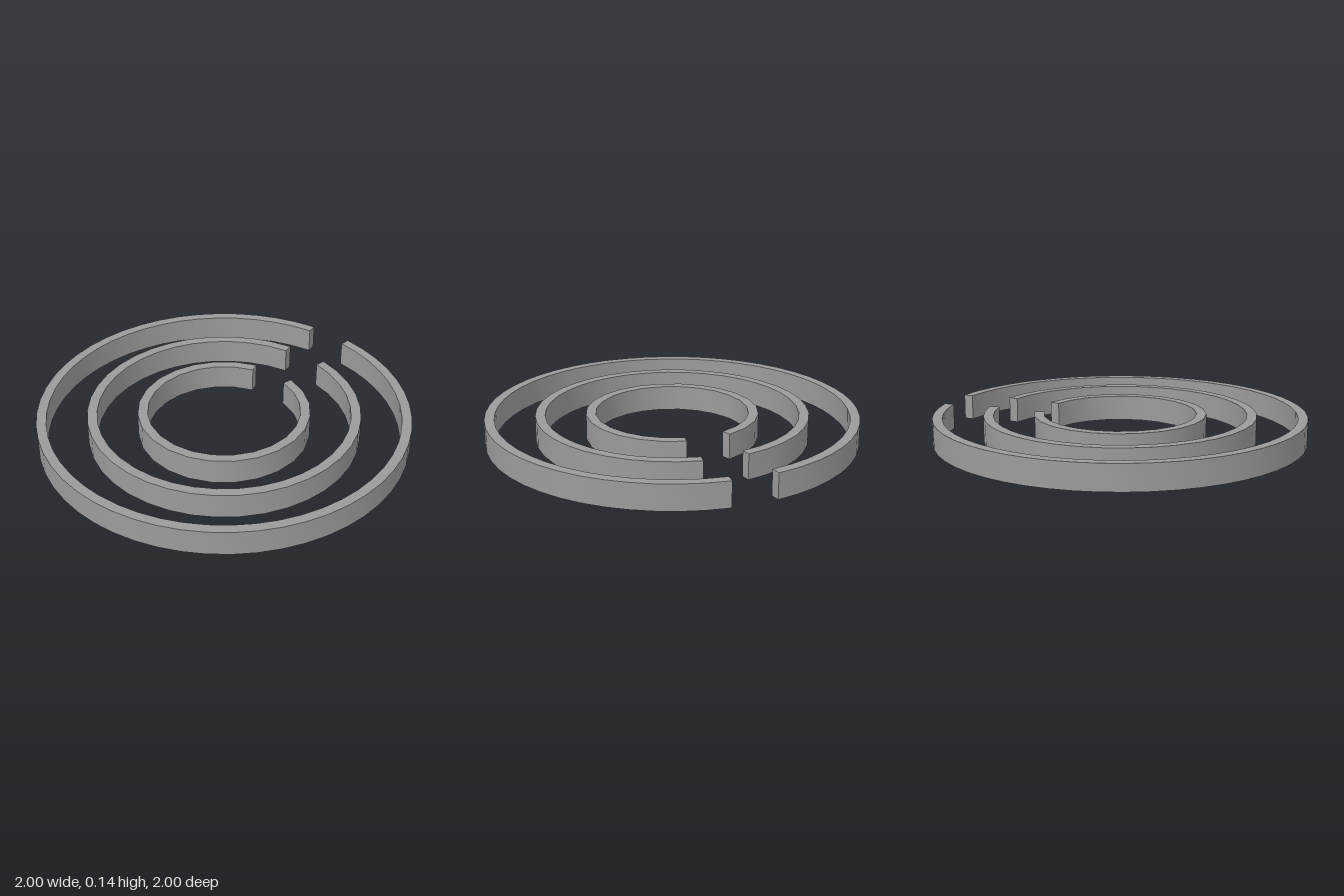
import * as THREE from 'three';
import { toCreasedNormals } from 'three/addons/utils/BufferGeometryUtils.js';

const HEIGHT = 0.137;

// Upright wall following a circle from one angle to another (degrees, seen from above)
function openRing(name, inner, outer, from, to, segments, material) {
  const points = [];
  const addArc = (radius, start, end) => {
    for (let i = 0; i <= segments; i++) {
      const a = THREE.MathUtils.degToRad(start + (end - start) * i / segments);
      points.push(new THREE.Vector2(radius * Math.cos(a), radius * Math.sin(a)));
    }
  };
  addArc(outer, from, to);
  addArc(inner, to, from);

  const extruded = new THREE.ExtrudeGeometry(new THREE.Shape(points), {
    depth: HEIGHT, bevelEnabled: false,
  });
  extruded.rotateX(-Math.PI / 2);
  // Smooth round the walls, sharp at the rims and ends
  const mesh = new THREE.Mesh(toCreasedNormals(extruded, Math.PI / 6), material);
  mesh.name = name;
  return mesh;
}

export function createModel() {
  const group = new THREE.Group();
  group.name = 'concentricOpenRings';
  const material = new THREE.MeshStandardMaterial({ color: 0x9b9b9b });

  // Each ring has a gap two segments wide on the +x side
  group.add(
    openRing('outerRing', 0.947, 1.0, 20.77, 366.92, 50, material),
    openRing('middleRing', 0.679, 0.732, 21.5, 362.7, 36, material),
    openRing('innerRing', 0.41, 0.463, 30, 360, 22, material),
  );
  return group;
}
